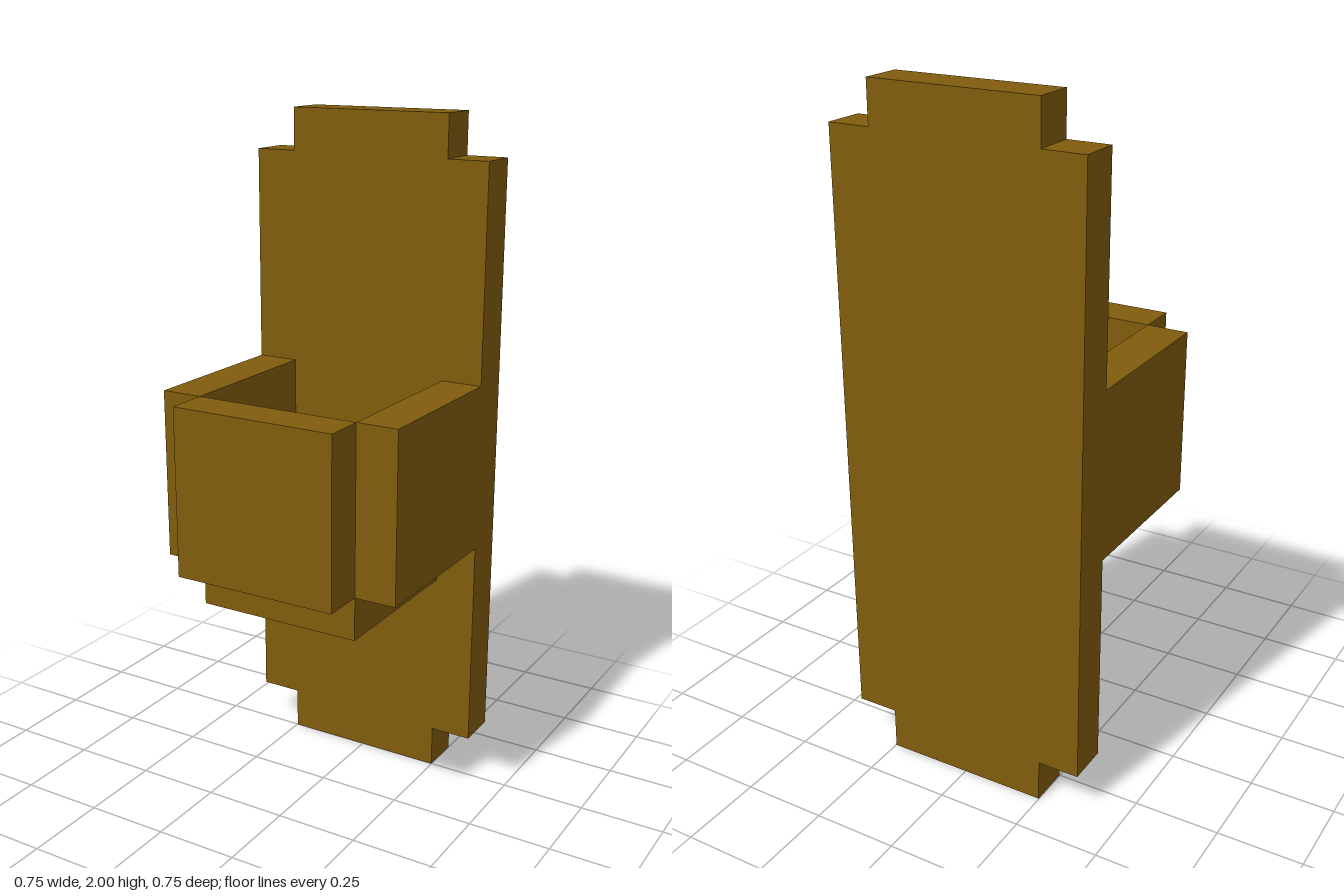
import * as THREE from 'three';

export function createModel() {
  const model = new THREE.Group();
  model.name = 'wallPocket';
  const wood = new THREE.MeshStandardMaterial({ color: 0x805c0d });
  wood.name = 'brown wood';

  const OUT = 0.373, IN = 0.249; // outer and inner half widths

  // Box given by its limits on each axis
  function slab(name, [x0, x1], [y0, y1], [z0, z1]) {
    const mesh = new THREE.Mesh(new THREE.BoxGeometry(x1 - x0, y1 - y0, z1 - z0), wood);
    mesh.position.set((x0 + x1) / 2, (y0 + y1) / 2, (z0 + z1) / 2);
    mesh.name = name;
    model.add(mesh);
  }

  // Tall back board with notched corners
  const low = 0.125, high = 1.877;
  const half = [[IN, 0], [IN, low], [OUT, low], [OUT, high], [IN, high], [IN, 2]];
  const outline = [...half, ...half.map(([x, y]) => [-x, y]).reverse()];
  const board = new THREE.Mesh(
    new THREE.ExtrudeGeometry(
      new THREE.Shape(outline.map(([x, y]) => new THREE.Vector2(x, y))),
      { depth: OUT - IN, bevelEnabled: false }
    ),
    wood
  );
  board.position.z = -OUT;
  board.name = 'backBoard';
  model.add(board);

  // Open-topped pocket: two sides, front and floor
  const wallY = [0.755, 1.25];
  slab('leftWall', [IN, OUT], wallY, [-IN, IN]);
  slab('rightWall', [-OUT, -IN], wallY, [-IN, IN]);
  slab('frontWall', [-IN, IN], wallY, [IN, OUT]);
  slab('pocketFloor', [-IN, IN], [0.628, 0.755], [-IN, IN]);

  return model;
}
